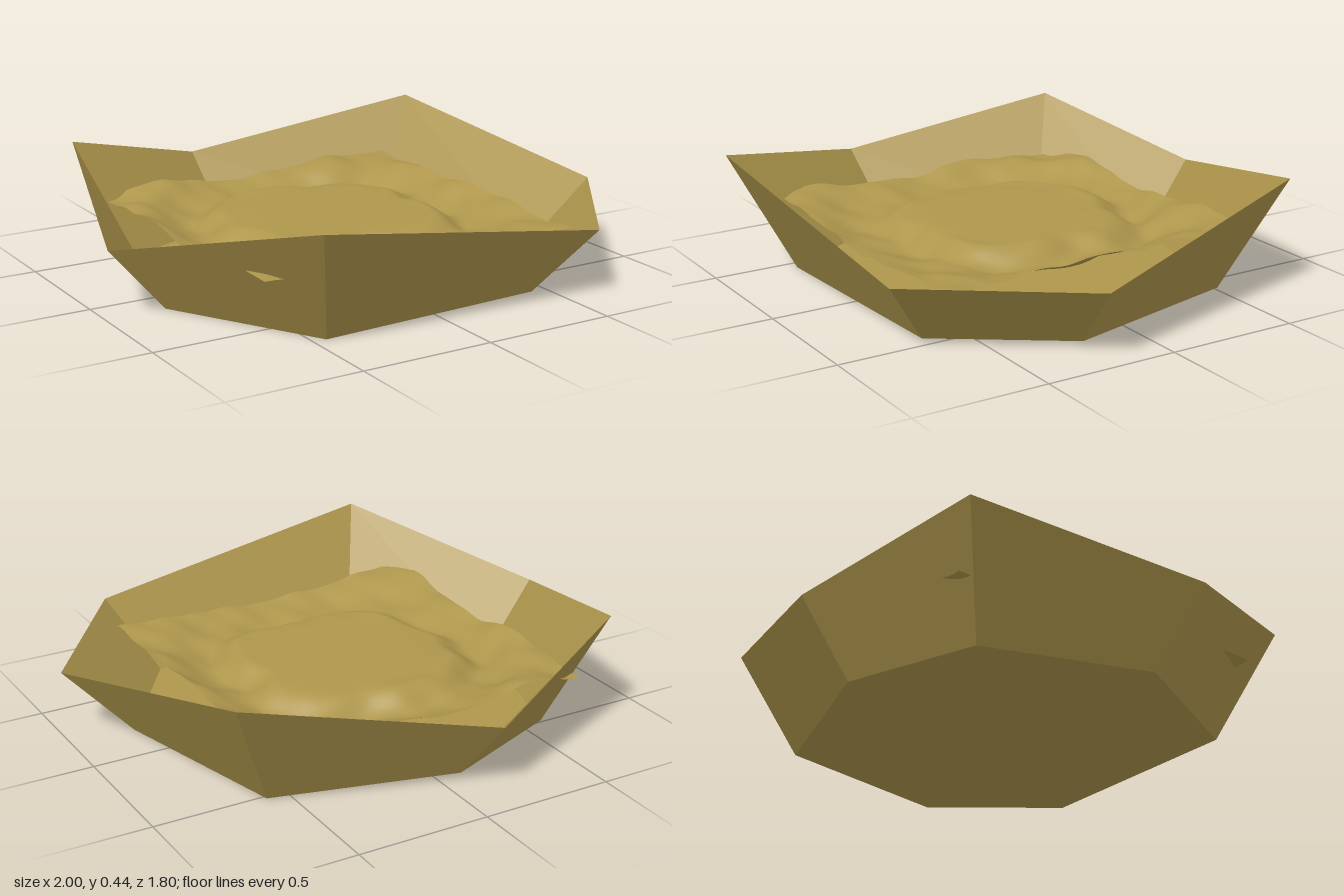
import * as THREE from 'three';

const { smoothstep } = THREE.MathUtils;
const material = () => new THREE.MeshStandardMaterial({ color: 0xae964c, side: THREE.DoubleSide });

// Heptagonal corners, in order round the bowl: [x, y, z]
const RIM = [
  [-0.13, 0.26, -0.905], [0.77, 0.44, -0.675], [1.0, 0.26, 0.265], [0.58, 0.26, 0.845],
  [-0.585, 0.44, 0.9], [-1.0, 0.26, 0.17], [-0.77, 0.44, -0.64],
];
const BASE = [
  [-0.1, 0, -0.69], [0.58, 0, -0.515], [0.755, 0, 0.2], [0.44, 0, 0.65],
  [-0.45, 0, 0.69], [-0.77, 0, 0.13], [-0.59, 0, -0.49],
];

// Small humps in the soil: [x, z, width, height]
const HUMPS = [
  [0.3, -0.5, 0.1, 0.03], [-0.42, -0.6, 0.13, 0.025],
  [0.61, 0.15, 0.2, 0.025], [-0.62, 0.62, 0.18, 0.03],
];

// Four-cornered panels, each shaded as one flat face across its diagonal
function panelMesh(name, panels) {
  const positions = [], normals = [];
  for (const panel of panels) {
    const [a, b, c, d] = panel.map((q) => new THREE.Vector3(...q));
    const normal = c.clone().sub(a).cross(d.clone().sub(b)).normalize();
    for (const v of [a, b, c, a, c, d]) {
      positions.push(...v.toArray());
      normals.push(...normal.toArray());
    }
  }
  const geometry = new THREE.BufferGeometry();
  geometry.setAttribute('position', new THREE.Float32BufferAttribute(positions, 3));
  geometry.setAttribute('normal', new THREE.Float32BufferAttribute(normals, 3));
  const mesh = new THREE.Mesh(geometry, material());
  mesh.name = name;
  return mesh;
}

// Height of the soil: a low squarish mound, a shallow moat and raised edges
function soilHeight(x, z) {
  const dx = x + 0.03, dz = z + 0.01;
  const angle = Math.atan2(dz, dx);
  const front = Math.max(0, Math.sin(angle));
  const r = Math.hypot(dx, dz) + 0.022 * Math.cos(4 * angle) - 0.02 * front
    + 0.014 * Math.sin(5 * angle + 1) + 0.006 * Math.sin(11 * angle + 2);
  const mound = 1 - smoothstep(r, 0.36, 0.49);
  const edge = smoothstep(r, 0.48, 0.7 + 0.2 * front);
  const ripple = 0.012 * Math.sin(7 * x + 3 * z + 1) * Math.cos(8 * z - 2 * x)
    + 0.009 * Math.sin(17 * x - 6 * z) * Math.sin(15 * z + 5 * x + 1)
    + 0.004 * Math.sin(31 * x + 9 * z) * Math.sin(27 * z - 11 * x);
  let y = 0.16 + 0.058 * mound + 0.062 * edge + ripple * smoothstep(r, 0.25, 0.48);
  for (const [hx, hz, width, height] of HUMPS) {
    y += height * Math.exp(-((x - hx) ** 2 + (z - hz) ** 2) / width ** 2);
  }
  return y;
}

export function createModel() {
  const group = new THREE.Group();
  group.name = 'soilBowl';

  // Thin sloping walls
  group.add(panelMesh('bowlWalls', RIM.map((top, i) => {
    const j = (i + 1) % RIM.length;
    return [top, RIM[j], BASE[j], BASE[i]];
  })));

  // Flat heptagonal floor
  const outline = new THREE.Shape(BASE.map(([x, , z]) => new THREE.Vector2(x, z)));
  const floor = new THREE.Mesh(new THREE.ShapeGeometry(outline).rotateX(Math.PI / 2), material());
  floor.name = 'bowlFloor';
  group.add(floor);

  // Square sheet of uneven soil with slightly wavy borders
  const soil = new THREE.PlaneGeometry(1.28, 1.28, 80, 80).rotateX(-Math.PI / 2).translate(-0.03, 0, 0.02);
  const p = soil.attributes.position;
  for (let i = 0; i < p.count; i++) {
    const x = p.getX(i), z = p.getZ(i);
    p.setXYZ(i, x + 0.005 * Math.sin(9 * z), soilHeight(x, z), z + 0.006 * Math.sin(9 * x + 1));
  }
  soil.computeVertexNormals();
  const soilMesh = new THREE.Mesh(soil, material());
  soilMesh.name = 'soil';
  group.add(soilMesh);
  return group;
}
